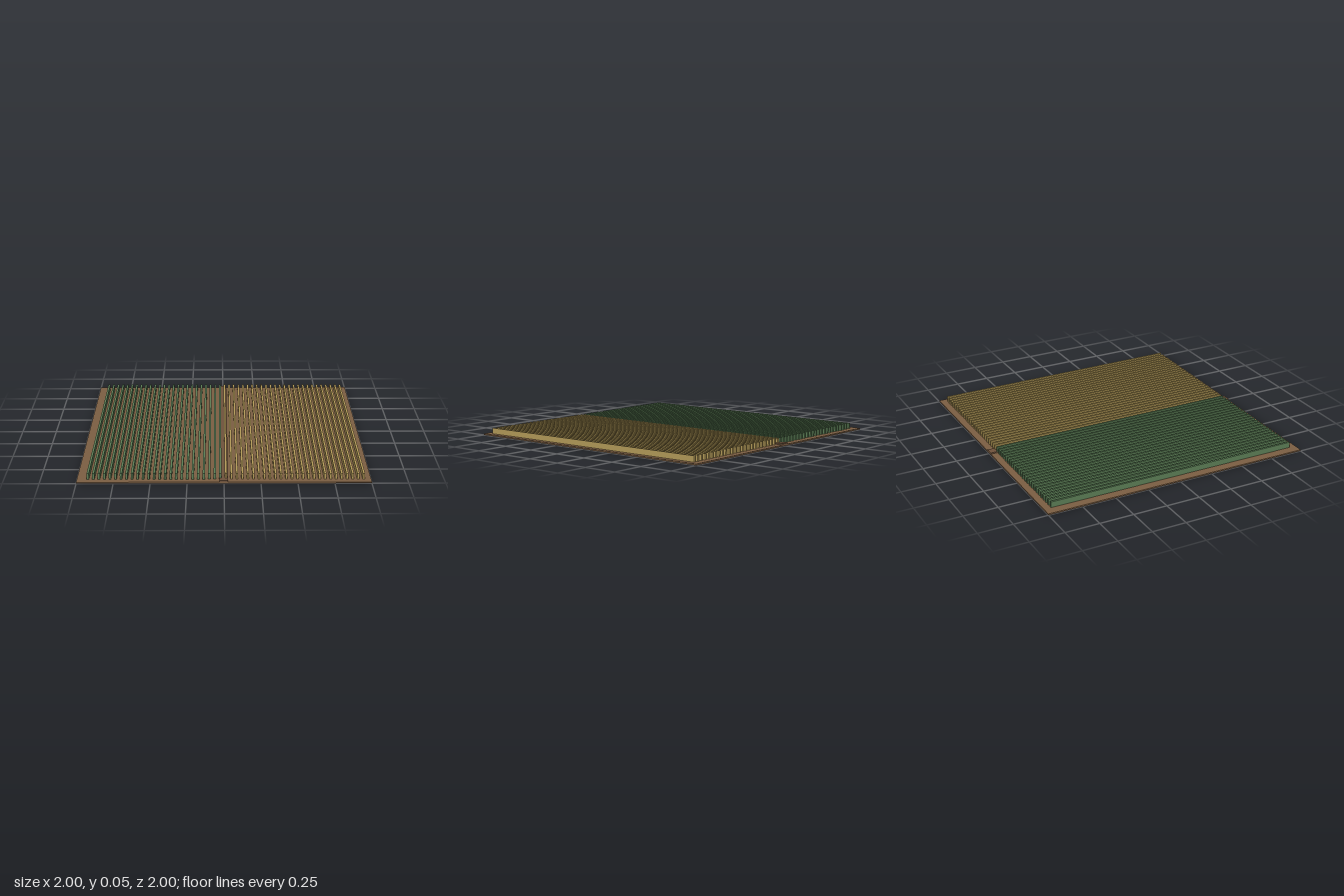
import * as THREE from 'three';

export function createModel() {
  const model = new THREE.Group();
  const brown = new THREE.MeshStandardMaterial({ color: 0x7b5e42 });
  const darkBrown = new THREE.MeshStandardMaterial({ color: 0x6f533c });
  const green = new THREE.MeshStandardMaterial({ color: 0x5b7d55 });
  const yellow = new THREE.MeshStandardMaterial({ color: 0xb39a58 });

  // Adds a box standing on height y0 and reaching y1
  function addBox(name, parent, material, x, width, y0, y1, depth) {
    const mesh = new THREE.Mesh(new THREE.BoxGeometry(width, y1 - y0, depth), material);
    mesh.position.set(x, (y0 + y1) / 2, 0);
    mesh.name = name;
    parent.add(mesh);
  }

  // Thin square ground with a raised strip along the middle
  addBox('groundPlate', model, brown, 0, 2, 0, 0.01, 2);
  addBox('centreStrip', model, darkBrown, -0.0025, 0.06, 0.01, 0.02, 2);

  // Evenly spaced rows: 25 green on the right half, 26 yellow on the left
  const greenRows = new THREE.Group();
  greenRows.name = 'greenRows';
  const yellowRows = new THREE.Group();
  yellowRows.name = 'yellowRows';
  model.add(greenRows, yellowRows);
  for (let i = 0; i < 51; i++) {
    const x = -0.925 + i * 0.0375;
    if (i < 25) addBox('greenRow', greenRows, green, x, 0.015, 0.01, 0.052, 1.9);
    else addBox('yellowRow', yellowRows, yellow, x, 0.015, 0.01, 0.052, 1.9);
  }
  return model;
}
